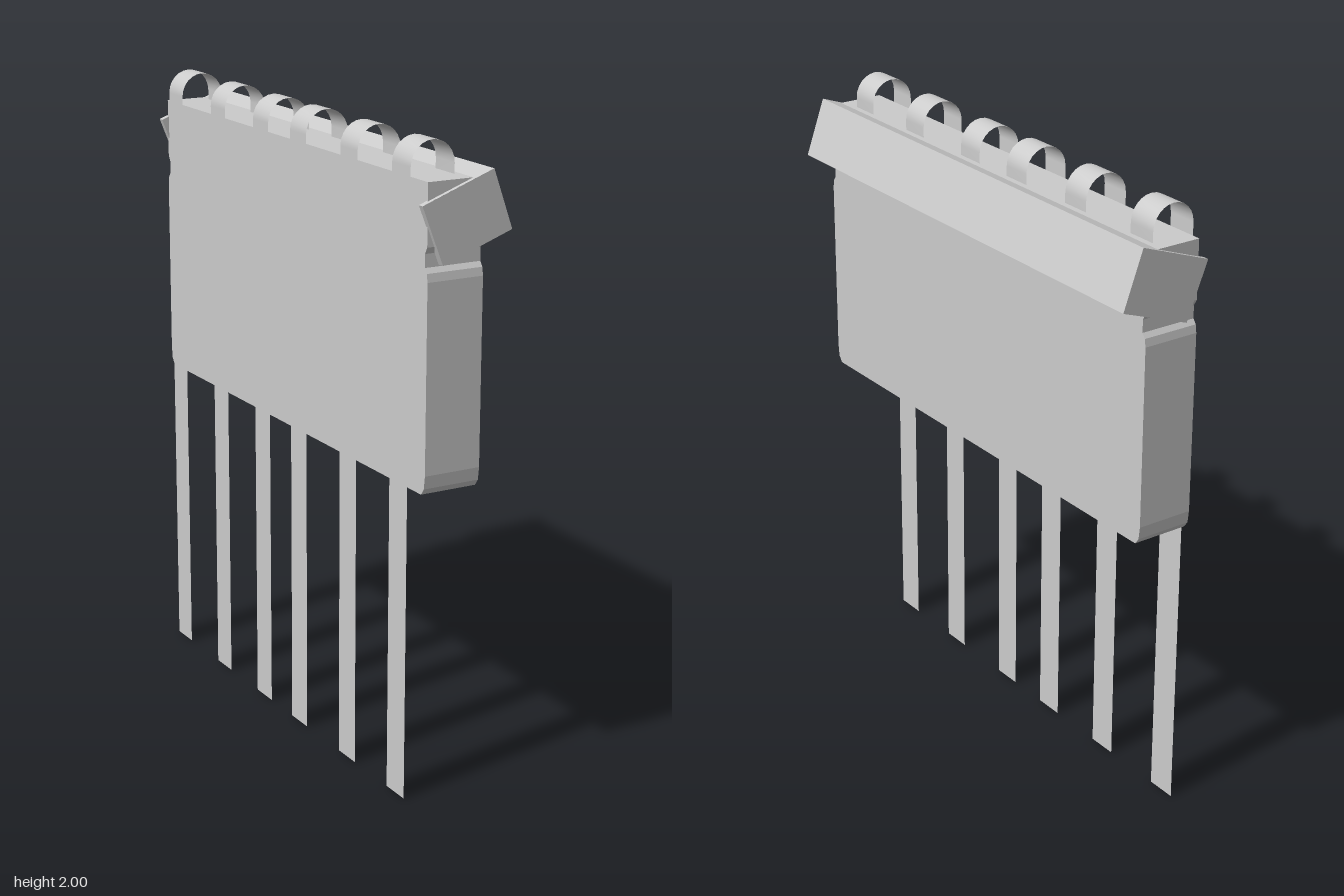
import * as THREE from 'three';

const grey = new THREE.MeshStandardMaterial({ color: 0xcccccc });
const thin = new THREE.MeshStandardMaterial({ color: 0xcccccc, side: THREE.DoubleSide });

const shapeOf = (pts) => new THREE.Shape(pts.map(([x, y]) => new THREE.Vector2(x, y)));
const extrude = (pts, depth) =>
  new THREE.ExtrudeGeometry(shapeOf(pts), { depth, bevelEnabled: false });

function add(group, name, geometry, material = grey) {
  const mesh = new THREE.Mesh(geometry, material);
  mesh.name = name;
  group.add(mesh);
  return mesh;
}

// Zero-thickness ribbon: rises behind the body and hooks over its top
function strapGeometry(width) {
  const r = 0.0725, cx = -0.0675, cy = 1.9275, steps = 12;
  const path = [[cx - r, 0]];
  for (let i = 0; i <= steps; i++) {
    const a = Math.PI * (1 - i / steps);
    path.push([cx + r * Math.cos(a), cy + r * Math.sin(a)]);
  }
  path.push([cx + r, 1.86]);
  const geo = new THREE.PlaneGeometry(1, width, path.length - 1, 1);
  const pos = geo.attributes.position;
  for (let i = 0; i < pos.count; i++) {
    const [x, y] = path[i % path.length];
    pos.setXYZ(i, x, y, i < path.length ? -width / 2 : width / 2);
  }
  geo.computeVertexNormals();
  return geo;
}

export function createModel() {
  const model = new THREE.Group();
  model.name = 'strappedPanel';

  // Slab body: chamfered bottom corners and a slight neck under the bar
  const side = [[0.81, 0.98], [0.825, 1.0], [0.83, 1.04], [0.83, 1.61],
    [0.826, 1.635], [0.815, 1.65], [0.815, 1.69], [0.826, 1.71], [0.826, 1.895]];
  const outline = [...side, ...side.map(([z, y]) => [-z, y]).reverse()];
  const body = extrude(outline, 0.185);
  body.rotateY(-Math.PI / 2);
  body.translate(0.06, 0, 0);
  add(model, 'body', body);

  // Tilted bar along the upper front edge, ending at the back of the body
  const bar = extrude([[-0.08, 1.655], [0.15, 1.737], [0.085, 1.917],
    [-0.12, 1.843], [-0.12, 1.76]], 1.676);
  bar.translate(0, 0, -0.838);
  add(model, 'bar', bar);

  // End plates keep the bar's full section around the body's ends
  for (const s of [1, -1]) {
    const plate = extrude([[-0.08, 1.655], [0.15, 1.737], [0.085, 1.917], [-0.15, 1.832]], 0.02);
    plate.translate(0, 0, s * 0.829 - 0.01);
    add(model, s > 0 ? 'frontEndPlate' : 'backEndPlate', plate);
  }

  // Six straps hanging down the back
  const strap = strapGeometry(0.1);
  const straps = new THREE.Group();
  straps.name = 'straps';
  [0.708, 0.415, 0.108, -0.133, -0.425, -0.731].forEach((z, i) => {
    add(straps, `strap${i + 1}`, strap, thin).position.z = z;
  });
  model.add(straps);

  return model;
}
